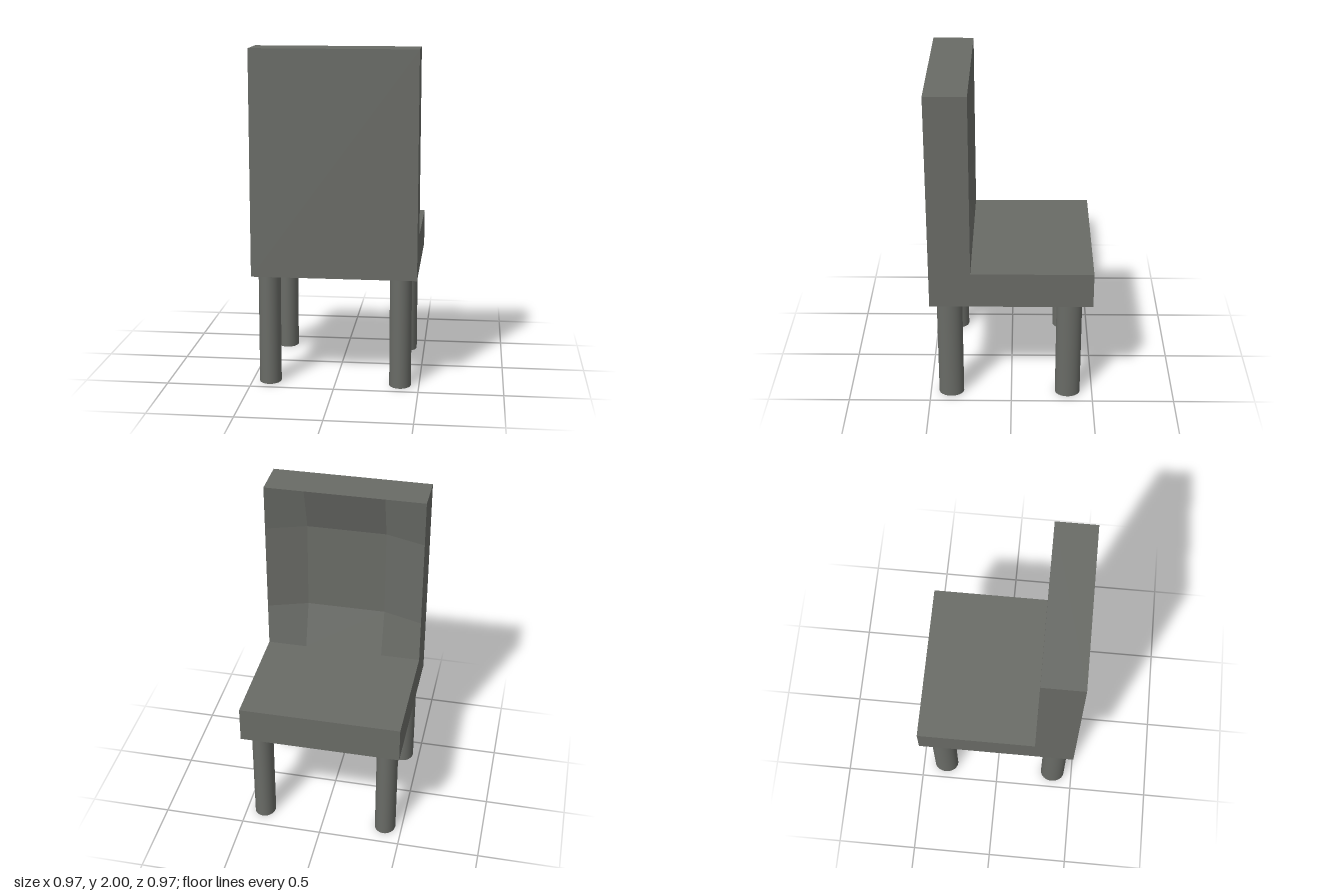
import * as THREE from 'three';

const HALF = 0.486;       // half of the square footprint
const SEAT_BOTTOM = 0.67;
const SEAT_TOP = 0.89;
const TOP = 2;
const BACK_Z = 0.24;      // inner face of the backrest
const RECESS = 0.082;

function boxBetween(x0, x1, y0, y1, z0, z1) {
  return new THREE.BoxGeometry(x1 - x0, y1 - y0, z1 - z0)
    .translate((x0 + x1) / 2, (y0 + y1) / 2, (z0 + z1) / 2);
}

// Dished 3 x 3 panel facing -z, one flat normal per panel facet
function dishedPanel() {
  const steps = [0, 0.25, 0.75, 1];
  const point = (i, j) => new THREE.Vector3(
    -HALF + steps[i] * 2 * HALF,
    SEAT_TOP + steps[j] * (TOP - SEAT_TOP),
    BACK_Z + (i % 3 && j % 3 ? RECESS : 0)
  );
  const positions = [];
  const normals = [];
  for (let i = 0; i < 3; i++) {
    for (let j = 0; j < 3; j++) {
      const a = point(i, j), b = point(i + 1, j), c = point(i + 1, j + 1), d = point(i, j + 1);
      const normal = d.clone().sub(b).cross(c.clone().sub(a)).normalize();
      // Split each corner facet from its outer to its inner corner
      const corners = i === j ? [a, d, c, a, c, b] : [a, d, b, d, c, b];
      for (const p of corners) {
        positions.push(p.x, p.y, p.z);
        normals.push(normal.x, normal.y, normal.z);
      }
    }
  }
  const geometry = new THREE.BufferGeometry();
  geometry.setAttribute('position', new THREE.Float32BufferAttribute(positions, 3));
  geometry.setAttribute('normal', new THREE.Float32BufferAttribute(normals, 3));
  return geometry;
}

export function createModel() {
  const chair = new THREE.Group();
  chair.name = 'chair';
  const grey = new THREE.MeshStandardMaterial({ color: 0x696b66 });
  grey.name = 'warm grey';

  const add = (name, geometry) => {
    const mesh = new THREE.Mesh(geometry, grey);
    mesh.name = name;
    chair.add(mesh);
    return mesh;
  };

  // Seat slab
  add('seat', boxBetween(-HALF, HALF, SEAT_BOTTOM, SEAT_TOP, -HALF, BACK_Z));

  // Backrest shell: a box whose -z face (the last six indices) is left open
  const shell = boxBetween(-HALF, HALF, SEAT_BOTTOM, TOP, BACK_Z, HALF);
  shell.setIndex(Array.from(shell.index.array).slice(0, 30));
  shell.clearGroups();
  add('backrest', shell);
  add('backrestDish', dishedPanel());

  // Four slightly oval legs
  const legGeometry = new THREE.CylinderGeometry(1, 1, SEAT_BOTTOM, 32)
    .scale(0.065, 1, 0.077);
  for (const [side, x] of [['Right', -0.394], ['Left', 0.387]]) {
    for (const [end, z] of [['backrest', 0.372], ['seat', -0.348]]) {
      add(`${end}${side}Leg`, legGeometry).position.set(x, SEAT_BOTTOM / 2, z);
    }
  }

  return chair;
}
